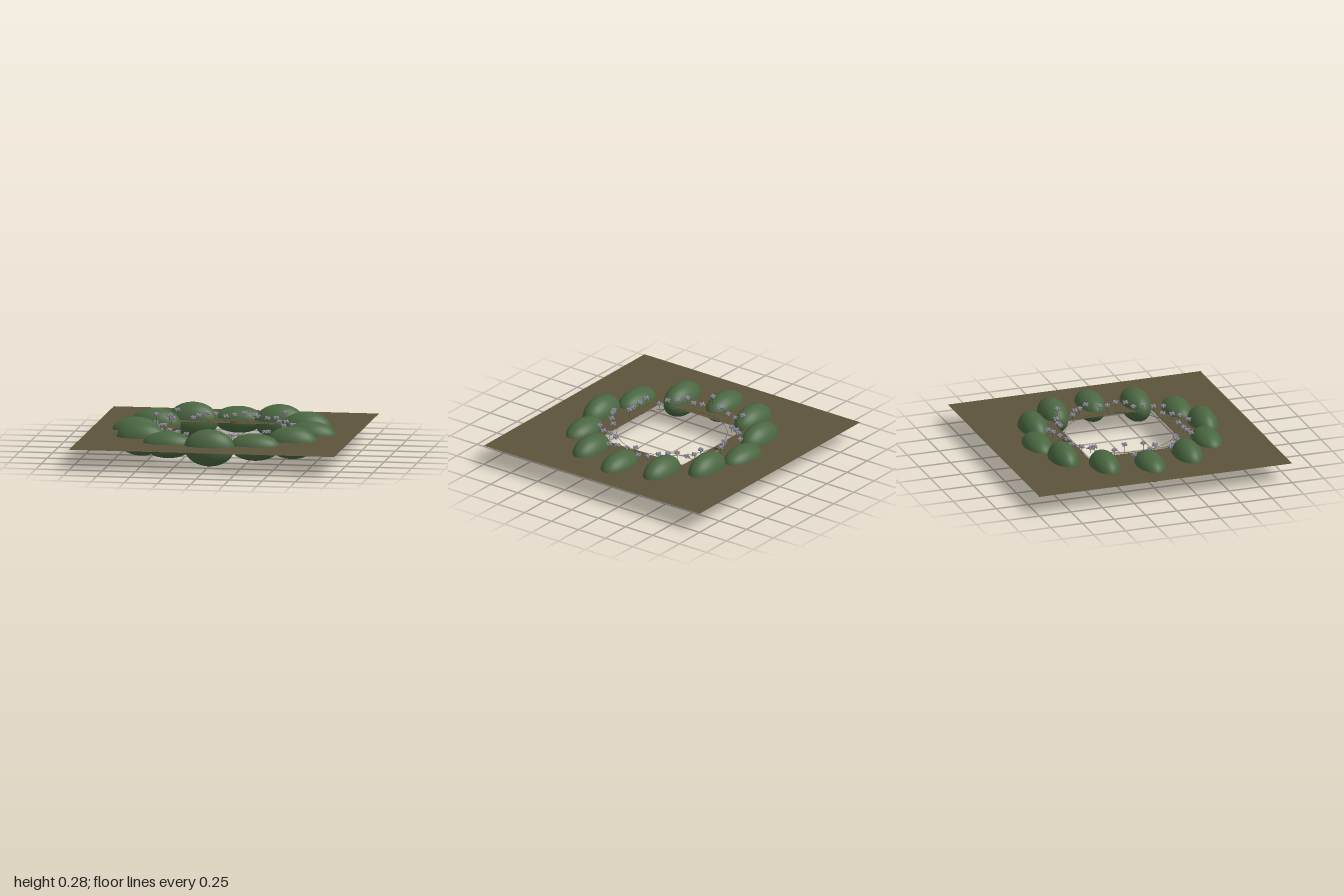
import * as THREE from 'three';

const GROUND_Y = 0.157;

export function createModel() {
  const group = new THREE.Group();
  const soil = new THREE.MeshStandardMaterial({ color: 0x5c5339, side: THREE.DoubleSide });
  soil.name = 'soil';
  const leaf = new THREE.MeshStandardMaterial({ color: 0x4a6741 });
  leaf.name = 'leaf green';
  const petal = new THREE.MeshStandardMaterial({ color: 0x8d8799 });
  petal.name = 'petal lavender';

  const add = (name, geo, mat, x = 0, y = 0, z = 0, parent = group) => {
    const mesh = new THREE.Mesh(geo, mat);
    mesh.name = name;
    mesh.position.set(x, y, z);
    parent.add(mesh);
    return mesh;
  };
  const square = (PathType, h) => {
    const p = new PathType();
    p.moveTo(-h, -h);
    p.lineTo(h, -h);
    p.lineTo(h, h);
    p.lineTo(-h, h);
    p.closePath();
    return p;
  };

  // Flat ground sheet with a square opening
  const sheet = square(THREE.Shape, 1);
  sheet.holes.push(square(THREE.Path, 0.387));
  add('ground', new THREE.ShapeGeometry(sheet).rotateX(-Math.PI / 2), soil, 0, GROUND_Y, 0);

  // Hair-thin rim around the opening and a small block at the back
  add('rim', new THREE.TorusGeometry(0.41, 0.0015, 6, 72).rotateX(Math.PI / 2), soil, 0, 0.171, 0);
  add('block', new THREE.BoxGeometry(0.045, 0.014, 0.04), soil, 0, 0.164, -0.425);

  // Ring of twelve bushes: all lie along x, only their heights differ
  const bushGeo = new THREE.SphereGeometry(1, 32, 20);
  const halfHeights = [0.11, 0.122, 0.102, 0.139, 0.1, 0.127, 0.108, 0.125, 0.137, 0.1, 0.137, 0.127];
  halfHeights.forEach((h, i) => {
    const a = (i * Math.PI) / 6;
    add('bush', bushGeo, leaf, 0.655 * Math.cos(a), 0.143, 0.655 * Math.sin(a)).scale.set(0.189, h, 0.106);
  });

  // Flowers in slanted rows of four: x, z of each
  const rows = [
    [-0.06, -0.44, 0, -0.475, 0.07, -0.505, 0.15, -0.515],
    [0.185, -0.405, 0.26, -0.4, 0.33, -0.385, 0.405, -0.35],
    [0.375, -0.24, 0.435, -0.2, 0.49, -0.14, 0.53, -0.08],
    [0.45, 0, 0.47, 0.07, 0.49, 0.14, 0.49, 0.22],
    [0.375, 0.24, 0.36, 0.31, 0.335, 0.385, 0.295, 0.45],
    [0.19, 0.405, 0.135, 0.46, 0.07, 0.5, 0, 0.54],
    [-0.06, 0.44, -0.13, 0.455, -0.21, 0.455, -0.29, 0.455],
    [-0.29, 0.335, -0.36, 0.31, -0.43, 0.27, -0.49, 0.22],
    [-0.43, 0.12, -0.47, 0.07, -0.51, 0, -0.53, -0.08],
    [-0.43, -0.12, -0.43, -0.2, -0.43, -0.27, -0.41, -0.35],
    [-0.29, -0.34, -0.26, -0.4, -0.21, -0.46, -0.15, -0.52],
  ];
  // A few blooms stand taller: row * 4 + place -> head height
  const tall = { 7: 0.255, 34: 0.275, 36: 0.25, 39: 0.255 };
  const petalGeo = new THREE.SphereGeometry(0.009, 8, 6);

  rows.forEach((row, r) => {
    for (let k = 0; k < 4; k++) {
      const n = r * 4 + k;
      const y = tall[n] ?? 0.2 + 0.004 * ((n * 7) % 5);
      const flower = new THREE.Group();
      flower.name = 'flower';
      flower.position.set(row[2 * k], y, row[2 * k + 1]);
      flower.rotation.y = n * 0.7;
      group.add(flower);

      const length = y - GROUND_Y;
      add('stem', new THREE.CylinderGeometry(0.0018, 0.0018, length, 6), leaf, 0, -length / 2, 0, flower);
      add('flowerCentre', petalGeo, petal, 0, 0.004, 0, flower);
      for (let p = 0; p < 6; p++) {
        const a = (p * Math.PI) / 3;
        const lift = p % 2 ? 0.005 : -0.005;
        add('petal', petalGeo, petal, 0.014 * Math.cos(a), lift, 0.014 * Math.sin(a), flower);
      }
    }
  });

  return group;
}
